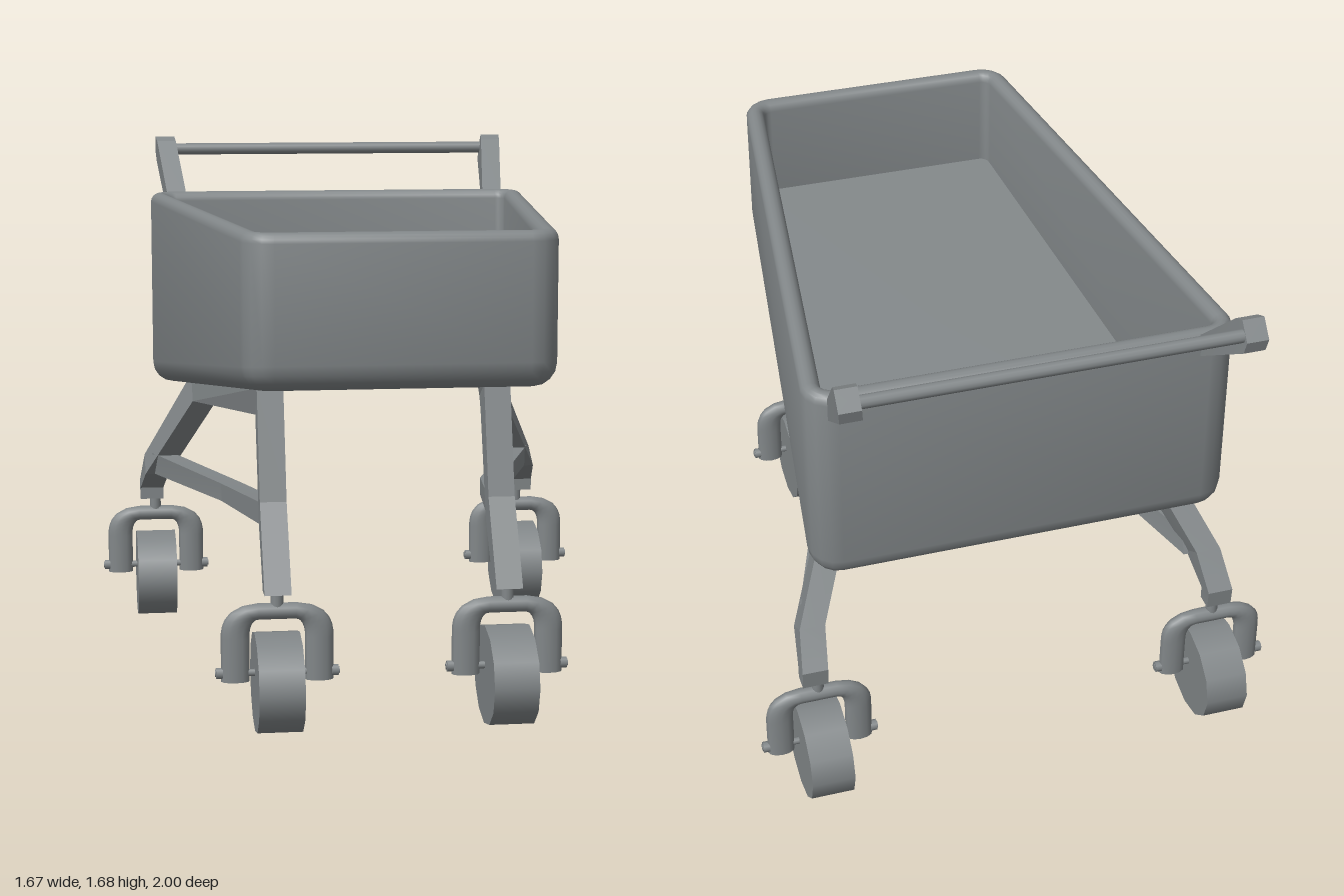
import * as THREE from 'three';
import { toCreasedNormals } from 'three/addons/utils/BufferGeometryUtils.js';

const V = (x, y, z) => new THREE.Vector3(x, y, z);

// Skin a list of equal-length rings and close both ends
function loft(rings, crease) {
  const n = rings[0].length;
  const cap = (r) => {
    const c = r.reduce((s, p) => s.add(p), V(0, 0, 0)).divideScalar(n);
    return r.map(() => c);
  };
  const all = [cap(rings[0]), ...rings, cap(rings[rings.length - 1])];
  const pos = [];
  const tri = (...pts) => pts.forEach((p) => pos.push(p.x, p.y, p.z));
  for (let i = 0; i < all.length - 1; i++) {
    for (let j = 0; j < n; j++) {
      const k = (j + 1) % n;
      const [a, b, c, d] = [all[i][j], all[i + 1][j], all[i + 1][k], all[i][k]];
      if (i < all.length - 2) tri(a, b, c);
      if (i > 0) tri(a, c, d);
      if (i === 0) tri(a, b, c);
    }
  }
  const g = new THREE.BufferGeometry();
  g.setAttribute('position', new THREE.Float32BufferAttribute(pos, 3));
  g.computeVertexNormals();
  return toCreasedNormals(g, crease);
}

// Rectangular bar through sections [zUpper, yUpper, zLower, yLower, x]
function bar(sections, side, halfWidth) {
  return loft(sections.map(([za, ya, zb, yb, x]) => {
    const l = side * x + halfWidth, r = side * x - halfWidth;
    return [V(l, yb, zb), V(l, ya, za), V(r, ya, za), V(r, yb, zb)];
  }), 0.15);
}

// Tapered tub: rounded trapezoid rings, sloping floor, rounded rim
function basketGeometry() {
  const R = 0.09, steps = 4;
  const bottom = (z) => 0.927 + 0.128 * z;
  const ring = (inset, height) => {
    const pts = [];
    for (let q = 0; q < 4; q++) {
      const sx = q === 0 || q === 3 ? 1 : -1, front = q < 2;
      const cx = sx * ((front ? 0.457 : 0.65) - R), cz = front ? 1 - R : -0.75 + R;
      for (let i = 0; i <= steps; i++) {
        const t = (q + i / steps) * Math.PI / 2;
        const z = cz + (R - inset) * Math.sin(t);
        pts.push(V(cx + (R - inset) * Math.cos(t), height(z), z));
      }
    }
    return pts;
  };
  const rings = [];
  for (let i = 0; i <= 4; i++) {
    const a = i * Math.PI / 8, r = 0.07;
    rings.push(ring(r * (1 - Math.sin(a)), (z) => bottom(z) + r * (1 - Math.cos(a))));
  }
  for (let i = 0; i <= 8; i++) {
    const a = i * Math.PI / 8, r = 0.03;
    rings.push(ring(r * (1 - Math.cos(a)), () => 1.5 - r * (1 - Math.sin(a))));
  }
  rings.push(ring(0.06, (z) => bottom(z) + 0.12));
  return loft(rings, 0.7);
}

export function createModel() {
  const model = new THREE.Group();
  model.name = 'pushCart';
  const grey = new THREE.MeshStandardMaterial({ color: 0x828789 });
  grey.name = 'grey';

  const add = (parent, name, geometry, x = 0, y = 0, z = 0) => {
    const m = new THREE.Mesh(geometry, grey);
    m.name = name;
    m.position.set(x, y, z);
    parent.add(m);
    return m;
  };
  const rod = (radius, length, sides = 12) =>
    new THREE.CylinderGeometry(radius, radius, length, sides).rotateZ(Math.PI / 2);

  add(model, 'basket', basketGeometry());
  add(model, 'handleBar', rod(0.02, 1.13), 0, 1.635, -0.967);

  // Front leg, beam under the basket and splayed rear leg in one run
  const frame = [
    [0.81, 0.42, 0.745, 0.42, 0.345],
    [0.66, 0.67, 0.62, 0.59, 0.345],
    [0.57, 1.0, 0.51, 0.91, 0.345],
    [-0.43, 0.9, -0.34, 0.82, 0.49],
    [-0.655, 0.585, -0.57, 0.53, 0.645],
    [-0.74, 0.48, -0.68, 0.46, 0.66],
    [-0.735, 0.42, -0.68, 0.42, 0.66],
  ];
  const brace = [
    [0.625, 0.662, 0.63, 0.595, 0.345],
    [0.03, 0.607, 0.03, 0.55, 0.425],
    [-0.56, 0.605, -0.59, 0.53, 0.625],
  ];
  const arm = [
    [-0.72, 1.475, -0.72, 1.405, 0.555],
    [-0.92, 1.665, -0.99, 1.59, 0.583],
    [-0.955, 1.68, -1.0, 1.63, 0.587],
  ];

  // Fork: flattened tube bent over the wheel
  const path = new THREE.CurvePath();
  const w = 0.0735, top = 0.365, bend = 0.29;
  const P = [V(-w, 0.155, 0), V(-w, bend, 0), V(-w, top, 0), V(-0.03, top, 0),
    V(0.03, top, 0), V(w, top, 0), V(w, bend, 0), V(w, 0.155, 0)];
  path.add(new THREE.LineCurve3(P[0], P[1]));
  path.add(new THREE.QuadraticBezierCurve3(P[1], P[2], P[3]));
  path.add(new THREE.LineCurve3(P[3], P[4]));
  path.add(new THREE.QuadraticBezierCurve3(P[4], P[5], P[6]));
  path.add(new THREE.LineCurve3(P[6], P[7]));
  const forkGeo = new THREE.TubeGeometry(path, 32, 0.025, 12).scale(1.7, 1, 1);
  const forkEndGeo = new THREE.CircleGeometry(0.025, 12).rotateX(Math.PI / 2).scale(1.7, 1, 1);
  const wheelGeo = rod(0.18, 0.135).scale(1, 0.15 / 0.18, 1);

  function caster(name, x, z) {
    const g = new THREE.Group();
    g.name = name;
    g.position.set(x, 0, z);
    add(g, 'wheel', wheelGeo, 0, 0.15, 0);
    add(g, 'fork', forkGeo);
    add(g, 'axle', rod(0.011, 0.37, 8), 0, 0.18, 0);
    add(g, 'stem', new THREE.CylinderGeometry(0.019, 0.019, 0.07, 12), 0, 0.405, 0);
    for (const s of [-1, 1]) {
      add(g, 'forkEnd', forkEndGeo, s * w * 1.7, 0.155, 0);
      add(g, 'axleNut', rod(0.017, 0.02, 8), s * 0.172, 0.18, 0);
    }
    model.add(g);
  }

  for (const [side, label] of [[1, 'left'], [-1, 'right']]) {
    add(model, label + 'LegFrame', bar(frame, side, 0.04));
    add(model, label + 'Brace', bar(brace, side, 0.035));
    add(model, label + 'HandleArm', bar(arm, side, 0.033));
    caster(label + 'FrontCaster', side * 0.345, 0.77);
    caster(label + 'RearCaster', side * 0.648, -0.707);
  }
  return model;
}
